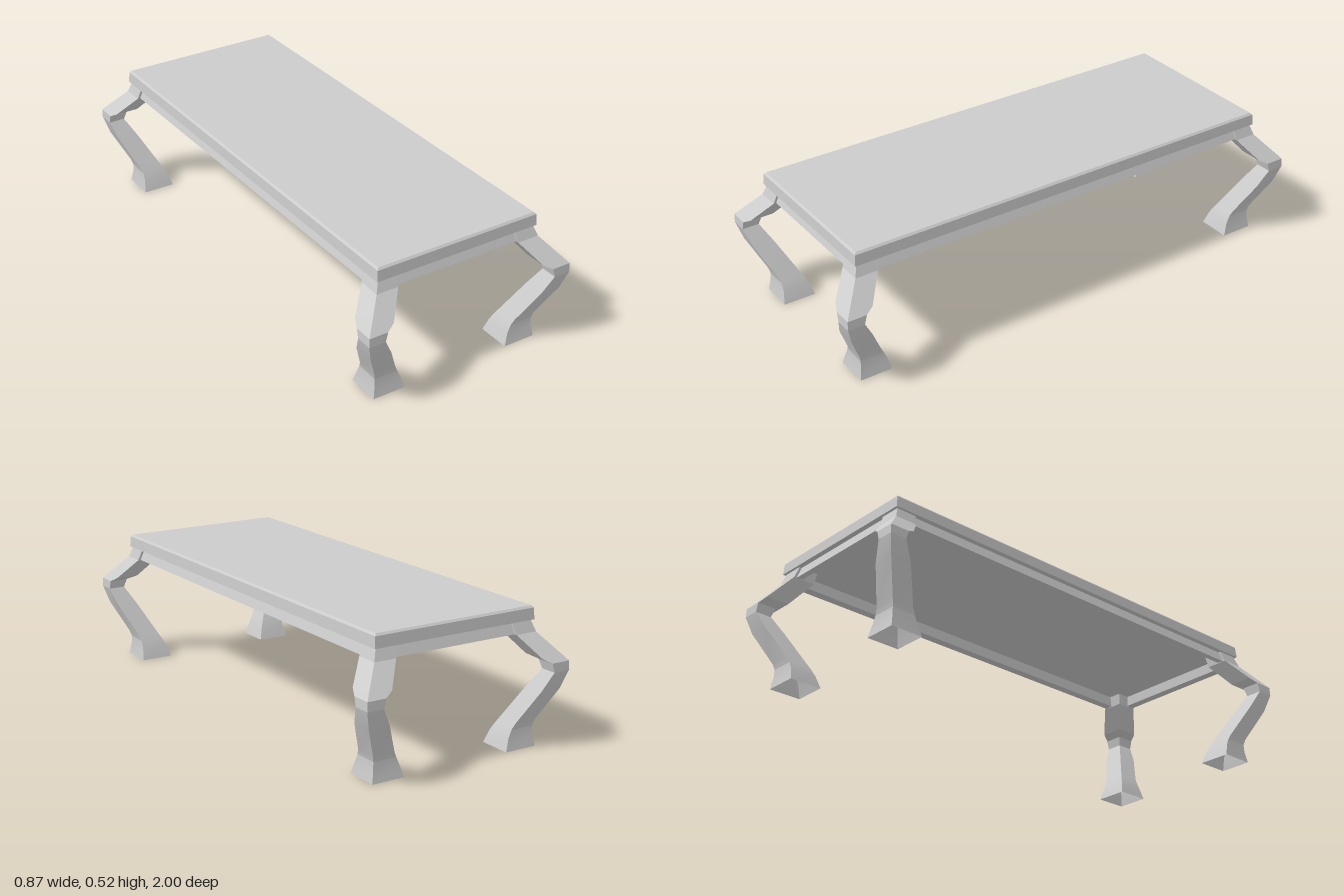
import * as THREE from 'three';
import { toCreasedNormals } from 'three/addons/utils/BufferGeometryUtils.js';

const material = new THREE.MeshStandardMaterial({ color: 0xcccccc, side: THREE.DoubleSide });

// Loft through rectangular rings [y, x0, x1, z0, z1]; edges sharper than crease stay hard.
function loft(rings, crease, capped) {
  const positions = [], index = [];
  for (const [y, x0, x1, z0, z1] of rings) {
    positions.push(x0, y, z1, x1, y, z1, x1, y, z0, x0, y, z0);
  }
  for (let s = 0; s < rings.length - 1; s++) {
    for (let k = 0; k < 4; k++) {
      const a = s * 4 + k, b = s * 4 + (k + 1) % 4;
      index.push(a, b, b + 4, a, b + 4, a + 4);
    }
  }
  if (capped) {
    const t = (rings.length - 1) * 4;
    index.push(0, 2, 1, 0, 3, 2, t, t + 1, t + 2, t, t + 2, t + 3);
  }
  const geometry = new THREE.BufferGeometry();
  geometry.setAttribute('position', new THREE.Float32BufferAttribute(positions, 3));
  geometry.setIndex(index);
  return toCreasedNormals(geometry, crease);
}

function add(parent, name, geometry) {
  const mesh = new THREE.Mesh(geometry, material);
  mesh.name = name;
  parent.add(mesh);
}

export function createModel() {
  const model = new THREE.Group();
  model.name = 'table';
  const stretch = 0.566; // the table is this much longer than wide, per side
  const centredRing = ([y, r]) => [y, -r, r, -r - stretch, r + stretch];

  // Table top with slightly tapered sides and a small chamfer
  const slab = [[0.474, 0.344], [0.517, 0.341], [0.525, 0.334]];
  add(model, 'tableTop', loft(slab.map(centredRing), 0.2, true));

  // Apron frame: rails flaring outward, from the inner top round to the outer top
  const apron = [[0.475, 0.305], [0.434, 0.309], [0.43, 0.338], [0.475, 0.323]];
  add(model, 'apron', loft(apron.map(centredRing), 0.2, false));

  // Cabriole leg, open underneath: [height, inner, outer], the same profile in both directions
  const profile = [
    [0, 0.225, 0.357], [0.048, 0.24, 0.349], [0.077, 0.253, 0.348], [0.1, 0.265, 0.354],
    [0.225, 0.329, 0.414], [0.295, 0.368, 0.435], [0.33, 0.358, 0.434],
    [0.348, 0.325, 0.419], [0.43, 0.26, 0.349], [0.476, 0.251, 0.333],
  ];
  for (const sx of [-1, 1]) {
    for (const sz of [-1, 1]) {
      const rings = profile.map(([y, a, b]) => {
        const x = sx > 0 ? [a, b] : [-b, -a];
        const z = sz > 0 ? [a + stretch, b + stretch] : [-b - stretch, -a - stretch];
        return [y, ...x, ...z];
      });
      const name = (sz > 0 ? 'front' : 'back') + (sx > 0 ? 'Left' : 'Right') + 'Leg';
      add(model, name, loft(rings, 0.2, false));
    }
  }
  return model;
}
